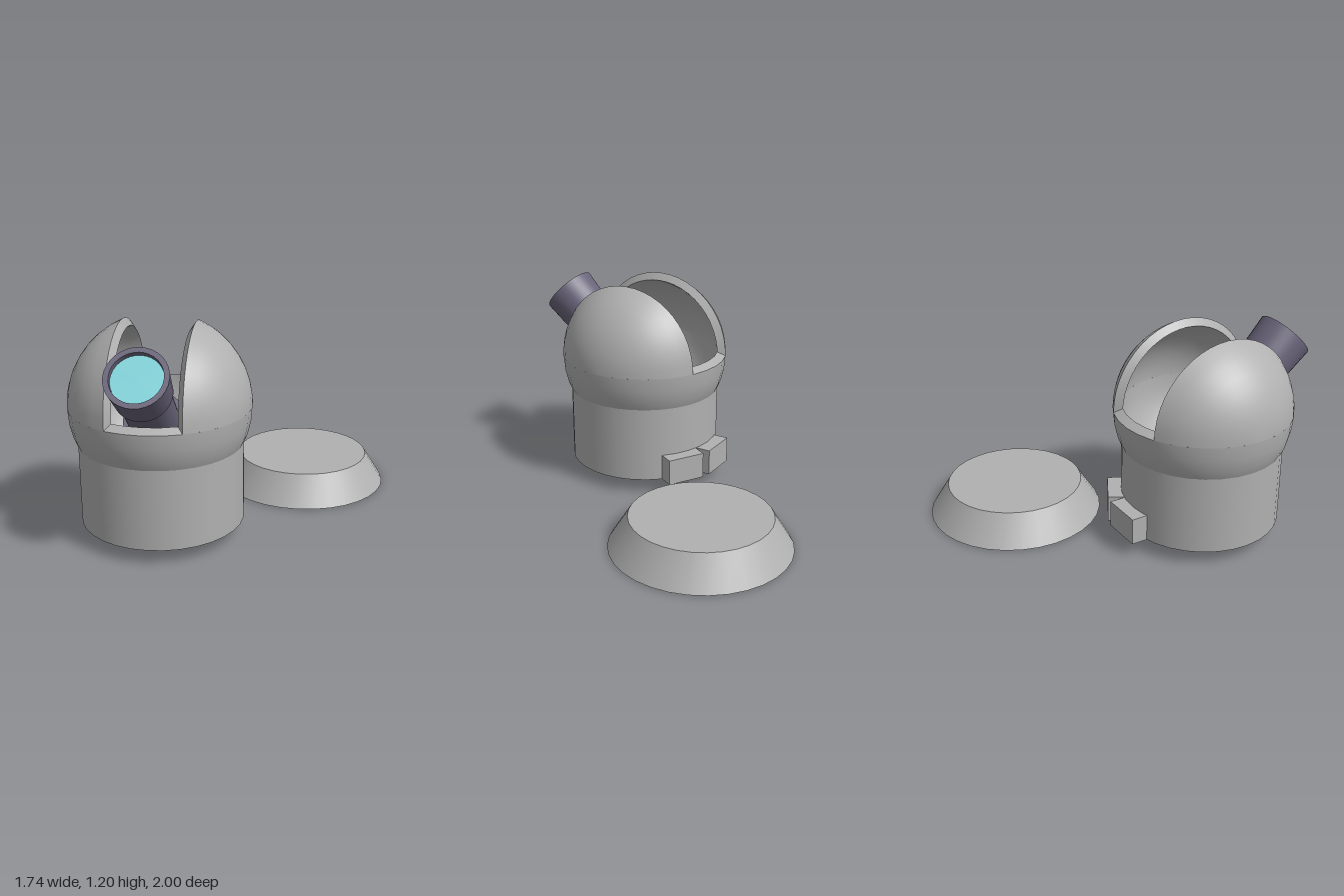
import * as THREE from 'three';
import { toCreasedNormals } from 'three/addons/utils/BufferGeometryUtils.js';

const SEG = 32;
const DOME_X = -0.372, DOME_Z = 0.328, DOME_Y = 0.74;

// points on a circular arc from angle a to b (angle measured up from the equator)
function arc(r, a, b, n) {
  const pts = [];
  for (let i = 0; i <= n; i++) {
    const t = a + (b - a) * i / n;
    pts.push(new THREE.Vector2(Math.max(0, r * Math.cos(t)), r * Math.sin(t)));
  }
  return pts;
}

// spun profile with smooth sides and sharp edges
function spin(points, segments = SEG, start = 0, length = Math.PI * 2) {
  return toCreasedNormals(new THREE.LatheGeometry(points, segments, start, length), 0.5);
}

export function createModel() {
  const model = new THREE.Group();
  const material = (name, color, side = THREE.FrontSide) => {
    const m = new THREE.MeshStandardMaterial({ color, side });
    m.name = name;
    return m;
  };
  const stone = material('lightGrey', 0xb0b0b0, THREE.DoubleSide);
  const metal = material('darkViolet', 0x686379, THREE.DoubleSide);
  const glass = material('cyanGlass', 0x7fd3da, THREE.DoubleSide);

  const add = (parent, name, geometry, mat) => {
    const mesh = new THREE.Mesh(geometry, mat);
    mesh.name = name;
    parent.add(mesh);
    return mesh;
  };
  const profile = (list) => list.map(([r, y]) => new THREE.Vector2(r, y));

  const observatory = new THREE.Group();
  observatory.name = 'observatory';
  observatory.position.set(DOME_X, 0, DOME_Z);
  model.add(observatory);

  // open drum under the dome
  const wall = add(observatory, 'drumWall',
    new THREE.CylinderGeometry(0.454, 0.454, 0.455, SEG, 1, true), stone);
  wall.position.y = 0.085 + 0.2275;

  // lower bowl of the dome: outer skin, slot sill, inner skin
  const R = 0.5, r = 0.45, sill = 0.025;
  const bowl = add(observatory, 'domeBowl', spin([
    ...arc(R, -Math.PI / 2, 0, 10),
    ...arc(r, Math.asin(sill / r), -Math.PI / 2, 10),
  ]), stone);
  bowl.position.y = DOME_Y;

  // two hollow upper shells, one on each side of the slot
  const outerEdge = Math.asin(0.2 / R), innerEdge = Math.asin(0.17 / r);
  const shell = spin([
    ...arc(r, Math.PI / 2, innerEdge, 8),
    ...arc(R, outerEdge, Math.PI / 2, 8),
  ], 24, Math.PI, Math.PI);
  shell.rotateZ(-Math.PI / 2);
  ['leftDomeShell', 'rightDomeShell'].forEach((name, i) => {
    const half = add(observatory, name, shell, stone);
    half.position.y = DOME_Y;
    half.rotation.y = i * Math.PI;
  });

  // two blocks on the back of the drum
  for (const [name, angle] of [['backBlock', 0], ['sideBlock', -Math.PI / 6]]) {
    const pivot = new THREE.Group();
    pivot.name = name;
    pivot.rotation.y = angle;
    observatory.add(pivot);
    add(pivot, name + 'Body', new THREE.BoxGeometry(0.23, 0.155, 0.11), stone)
      .position.set(0, 0.085 + 0.0775, -0.475);
  }

  // telescope, with its local y running out through the front opening
  const telescope = new THREE.Group();
  telescope.name = 'telescope';
  telescope.position.set(0, 1.06, 0.89 - DOME_Z);
  telescope.rotation.x = 0.828;
  observatory.add(telescope);
  add(telescope, 'telescopeHead', spin(profile([
    [0.13, -0.185], [0.152, -0.185], [0.163, 0], [0.135, 0], [0.133, -0.035],
  ])), metal);
  add(telescope, 'telescopeTube',
    new THREE.CylinderGeometry(0.134, 0.134, 0.34, SEG, 1, true), metal).position.y = -0.35;
  add(telescope, 'telescopeBase', spin(profile([
    [0, -0.773], [0.165, -0.773], [0.165, -0.515], [0.13, -0.515],
  ])), metal);
  const lens = add(telescope, 'lens', new THREE.CircleGeometry(0.134, SEG), glass);
  lens.rotation.x = -Math.PI / 2;
  lens.position.y = -0.03;

  // round landing pad behind the observatory
  const pad = add(model, 'landingPad',
    toCreasedNormals(new THREE.CylinderGeometry(0.395, 0.506, 0.177, SEG), 0.5), stone);
  pad.position.set(0.366, 0.0885, -0.494);

  return model;
}
